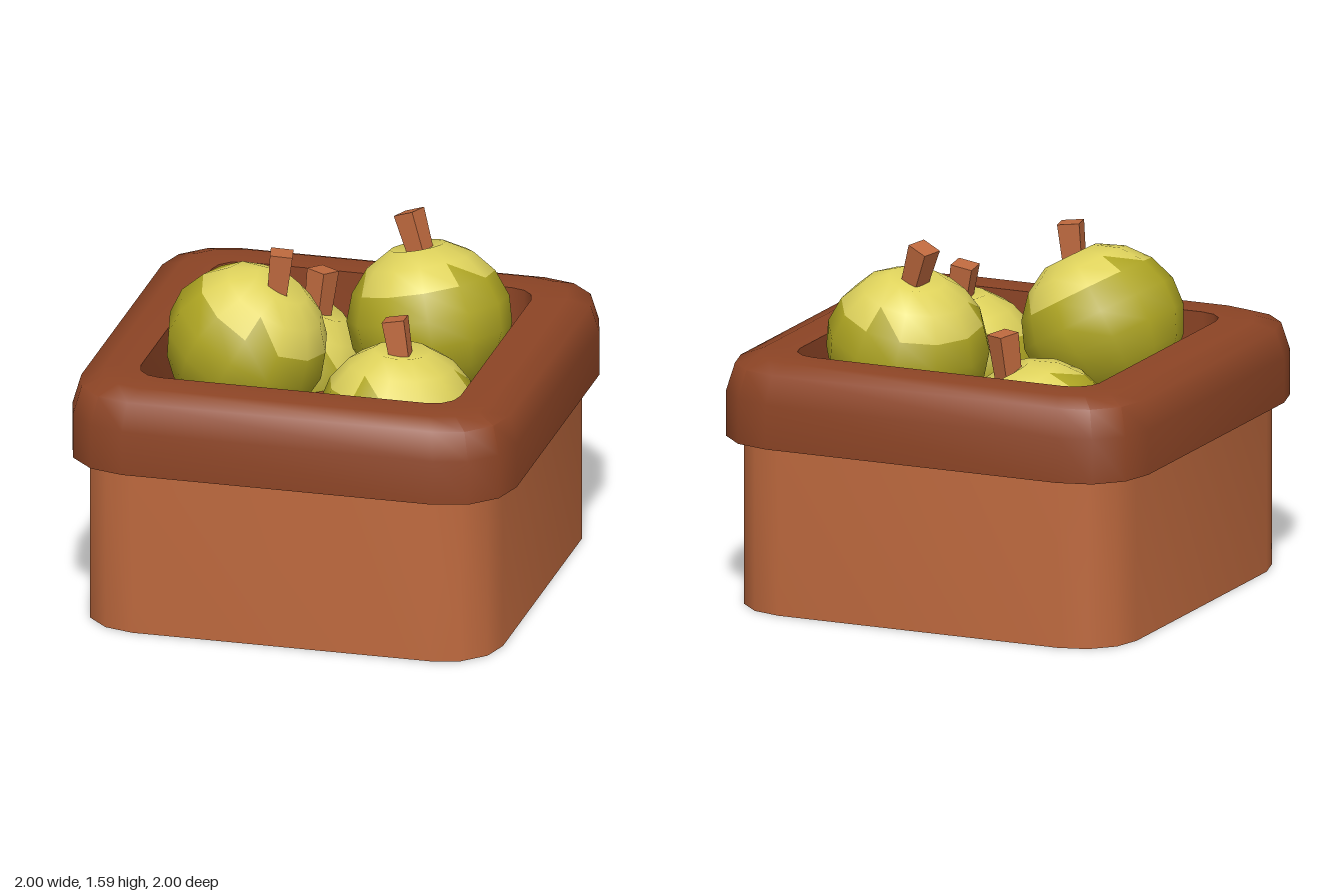
import * as THREE from 'three';
import { mergeVertices, toCreasedNormals } from 'three/addons/utils/BufferGeometryUtils.js';

const flat = (name, color) => {
  const m = new THREE.MeshStandardMaterial({ color });
  m.name = name;
  return m;
};

// Lofts rounded squares; each row is [half width, corner radius, height].
function loftRoundedSquares(rows, crease) {
  const steps = 3, n = 4 * (steps + 1), pos = [], index = [];
  for (const [half, r, y] of rows) {
    for (let c = 0; c < 4; c++) {
      const mid = (c + 0.5) * Math.PI / 2;
      const cx = Math.sign(Math.cos(mid)) * (half - r);
      const cz = Math.sign(Math.sin(mid)) * (half - r);
      for (let s = 0; s <= steps; s++) {
        const a = (c + s / steps) * Math.PI / 2;
        pos.push(cx + r * Math.cos(a), y, -(cz + r * Math.sin(a)));
      }
    }
  }
  for (let i = 0; i < rows.length - 1; i++) {
    for (let j = 0; j < n; j++) {
      const a = i * n + j, b = i * n + (j + 1) % n;
      if (rows[i][0] > 0) index.push(a, b, a + n);
      if (rows[i + 1][0] > 0) index.push(b, b + n, a + n);
    }
  }
  const g = new THREE.BufferGeometry();
  g.setAttribute('position', new THREE.Float32BufferAttribute(pos, 3));
  g.setIndex(index);
  return toCreasedNormals(g, crease);
}

// Low-poly apple body with a shallow dimple; group 0 is the pale cap, group 1 the rest.
function appleGeometry(radius) {
  let g = new THREE.SphereGeometry(radius, 12, 9);
  g.deleteAttribute('uv');
  g.deleteAttribute('normal');
  g = mergeVertices(g, 1e-4);
  const p = g.attributes.position;
  for (let i = 0; i < p.count; i++) {
    const t = p.getY(i) / radius;
    const taper = t < 0 ? 1 + 0.12 * t : 1;
    const dip = t > 0.98 ? 0.87 : t > 0 ? 1 : 0.95;
    p.setXYZ(i, p.getX(i) * taper, p.getY(i) * dip, p.getZ(i) * taper);
  }
  g.computeVertexNormals();
  const cap = [], body = [], v = new THREE.Vector3(), c = new THREE.Vector3();
  for (let k = 0; k < g.index.count; k += 3) {
    const tri = [0, 1, 2].map(o => g.index.getX(k + o));
    c.set(0, 0, 0);
    tri.forEach(i => c.add(v.fromBufferAttribute(p, i)));
    const polar = Math.acos(c.y / c.length());
    const limit = 1.03 + 0.13 * Math.sin(3 * Math.atan2(c.z, c.x) + 0.6);
    (polar < limit ? cap : body).push(...tri);
  }
  g.setIndex([...cap, ...body]);
  g.addGroup(0, cap.length, 0);
  g.addGroup(cap.length, body.length, 1);
  return g;
}

export function createModel() {
  const group = new THREE.Group();
  const wood = flat('light brown', 0xbe693e);
  const rimBrown = flat('dark brown', 0x8c4425);
  const pale = flat('pale yellow green', 0xdfd35c);
  const olive = flat('olive green', 0xaea522);
  const up = new THREE.Vector3(0, 1, 0);

  const add = (name, geometry, material, parent = group) => {
    const m = new THREE.Mesh(geometry, material);
    m.name = name;
    parent.add(m);
    return m;
  };

  // Container body
  add('basketBody', loftRoundedSquares([
    [0, 0, 0], [0.93, 0.26, 0], [0.93, 0.26, 0.77],
  ], 0.9), wood);

  // Thick rounded rim with its recessed floor
  add('basketRim', loftRoundedSquares([
    [0.9, 0.25, 0.76], [1, 0.3, 0.76], [1, 0.3, 0.96], [0.965, 0.28, 1.085],
    [0.87, 0.22, 1.12], [0.72, 0.12, 1.12], [0.72, 0.12, 0.8], [0, 0, 0.8],
  ], 0.98), rimBrown);

  // Apples: centre, leaning axis, stem base and stem tip
  const apples = [
    { name: 'frontLeftwardApple', at: [-0.34, 1.13, 0.27], axis: [0.16, 0.28, 0.01], base: [-0.19, 1.39, 0.28], tip: [-0.17, 1.58, 0.28] },
    { name: 'backRightwardApple', at: [0.345, 1.09, -0.3], axis: [-0.07, 0.33, -0.05], base: [0.29, 1.4, -0.34], tip: [0.23, 1.57, -0.37] },
    { name: 'frontRightwardApple', at: [0.37, 0.85, 0.32], axis: [0.01, 0.33, -0.01], base: [0.38, 1.14, 0.315], tip: [0.345, 1.33, 0.3] },
    { name: 'backLeftwardApple', at: [-0.32, 0.76, -0.36], axis: [0.14, 0.3, -0.05], base: [-0.19, 1.03, -0.4], tip: [-0.17, 1.24, -0.42] },
  ];
  const body = appleGeometry(0.365);
  apples.forEach(({ name, at, axis, base, tip }, i) => {
    const apple = new THREE.Group();
    apple.name = name;
    group.add(apple);
    const fruit = add('appleBody', body, [pale, olive], apple);
    fruit.position.set(...at);
    fruit.quaternion.setFromUnitVectors(up, new THREE.Vector3(...axis).normalize());
    fruit.rotateY(i * 0.8);

    // Square stem
    const a = new THREE.Vector3(...base), b = new THREE.Vector3(...tip);
    const dir = b.clone().sub(a);
    const stemGeometry = toCreasedNormals(new THREE.CylinderGeometry(0.07, 0.06, dir.length(), 4), 0.5);
    const stem = add('appleStem', stemGeometry, wood, apple);
    stem.position.copy(a).add(b).multiplyScalar(0.5);
    stem.quaternion.setFromUnitVectors(up, dir.normalize());
    stem.rotateY([1.0, 0.5, 0.85, 0.3][i]);
  });
  return group;
}
